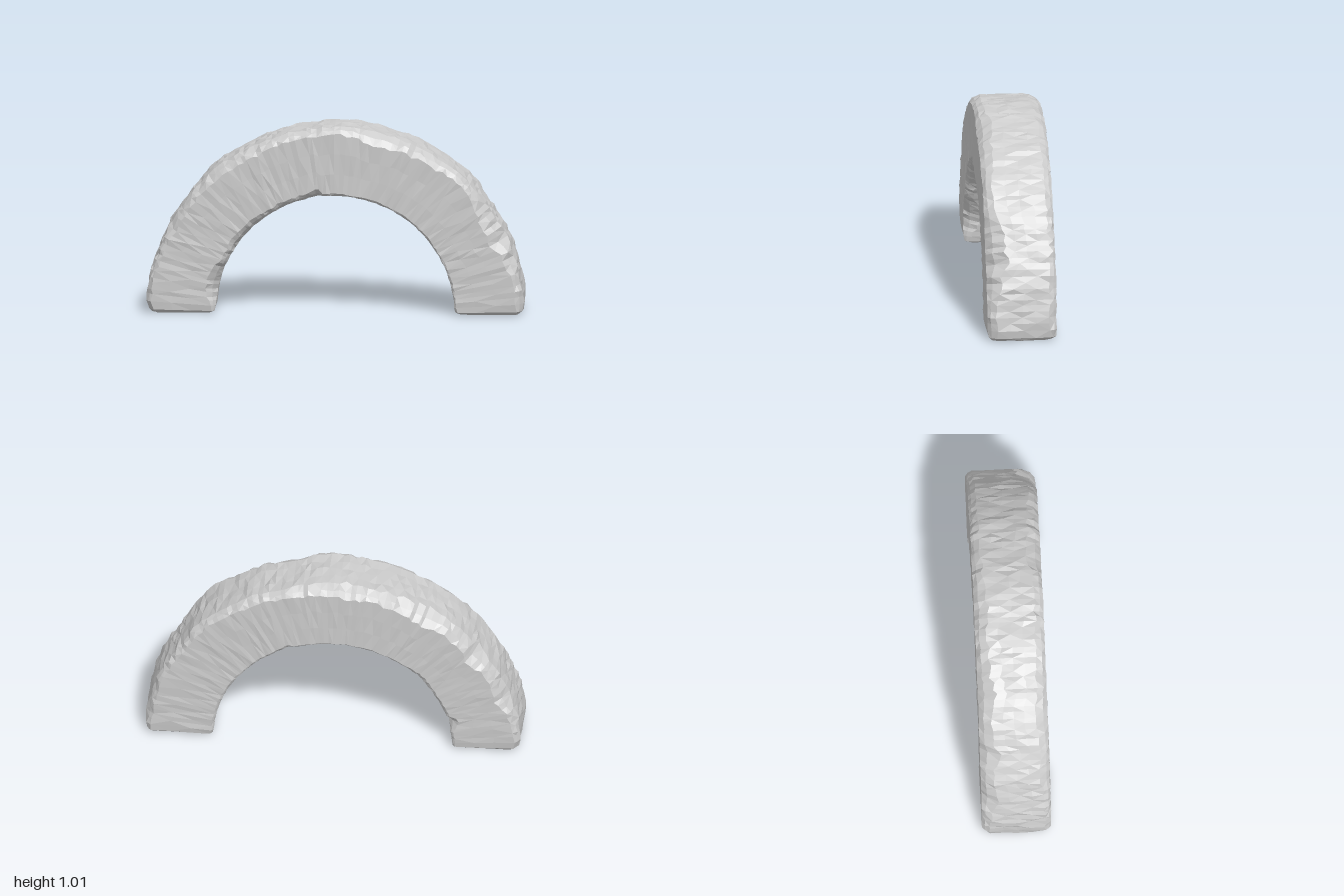
import * as THREE from 'three';

const INNER = 0.637, OUTER = 1.0, HALF = 0.184, STEPS = 96;

// Small seeded generator for the weathering
function seeded(seed) {
  let s = seed;
  return () => {
    s = (s * 16807) % 2147483647;
    return s / 2147483647 - 0.5;
  };
}

// Piecewise linear lookup of [degrees, value] pairs
function along(table, deg) {
  for (let i = 1; i < table.length; i++) {
    const [d0, v0] = table[i - 1], [d1, v1] = table[i];
    if (deg <= d1) return v0 + ((v1 - v0) * (deg - d0)) / (d1 - d0);
  }
  return table[table.length - 1][1];
}

// Worn width of each long edge around the arch; 0 degrees is the +x foot
const wear = {
  outerFront: [[0, 0.03], [4, 0.05], [9, 0.04], [14, 0.07], [20, 0.075], [24, 0.11], [34, 0.11], [38, 0.06],
    [48, 0.04], [55, 0.06], [62, 0.075], [68, 0.05], [74, 0.08], [82, 0.06], [88, 0.045], [110, 0.05],
    [130, 0.06], [145, 0.04], [150, 0.065], [156, 0.03], [180, 0.035]],
  outerBack: [[0, 0.04], [40, 0.035], [75, 0.045], [95, 0.07], [110, 0.06], [122, 0.09], [132, 0.07],
    [142, 0.1], [150, 0.06], [158, 0.09], [166, 0.05], [180, 0.035]],
  innerBack: [[0, 0.018], [60, 0.02], [68, 0.035], [74, 0.015], [120, 0.02], [135, 0.04], [150, 0.025],
    [162, 0.03], [164, 0.075], [168, 0.06], [169.5, 0.02], [180, 0.02]],
  innerFront: [[0, 0.015], [80, 0.015], [96, 0.02], [98, 0.06], [104, 0.035], [125, 0.035], [140, 0.06],
    [152, 0.04], [165, 0.085], [172, 0.07], [177, 0.03], [180, 0.02]],
};

// Closed section [radius, z] running outer, back, inner, front
function section(deg, rand, inset) {
  const r0 = INNER + inset, r1 = OUTER - inset, h = HALF - inset;
  const w = {};
  for (const edge in wear) {
    const v = along(wear[edge], deg);
    w[edge] = v * (1 + 0.35 * rand());
  }
  const corner = (r, z, sr, sz, b, outgoing) => {
    // Chamfer with a slightly raised middle point
    const onZ = [r, z - sz * b], mid = [r - sr * b * 0.36, z - sz * b * 0.36], onR = [r - sr * b * 0.8, z];
    return outgoing ? [onZ, mid, onR] : [onR, mid, onZ];
  };
  const side = (a, b, n) => Array.from({ length: n }, (_, i) => {
    const t = (i + 1) / (n + 1);
    return [a[0] + (b[0] - a[0]) * t, a[1] + (b[1] - a[1]) * t];
  });
  const oB = corner(r1, -h, 1, -1, w.outerBack, true);
  const iB = corner(r0, -h, -1, -1, w.innerBack, false);
  const iF = corner(r0, h, -1, 1, w.innerFront, true);
  const oF = corner(r1, h, 1, 1, w.outerFront, false);
  const points = [...oF, ...side(oF[2], oB[0], 3), ...oB, ...side(oB[2], iB[0], 2),
    ...iB, ...side(iB[2], iF[0], 2), ...iF, ...side(iF[2], oF[0], 2)];
  return points.map(([r, z]) => {
    const rough = r > 0.9 ? 0.012 : 0.004;
    return [r + rand() * rough, z + rand() * 0.005];
  });
}

function archGeometry() {
  const rand = seeded(4711);
  // Feet get two closely spaced rings for their bevel
  const stations = [[0, 0.024], [1.1, 0.005]];
  for (let i = 1; i < STEPS; i++) {
    const deg = 2 + (176 * i) / STEPS;
    stations.push([deg + rand() * 0.7, 0]);
  }
  stations.push([178.9, 0.005], [180, 0.024]);

  const positions = [], index = [];
  let n = 0;
  for (const [deg, inset] of stations) {
    const a = THREE.MathUtils.degToRad(deg);
    // Broad hollows and swells of the outer face
    const swell = 0.004 * Math.sin(a * 9) + 0.003 * Math.sin(a * 17 + 1);
    const ring = section(deg, rand, inset);
    n = ring.length;
    for (const [r, z] of ring) {
      const R = r > 0.85 ? r + swell : r;
      positions.push(R * Math.cos(a), Math.max(0, R * Math.sin(a)), z);
    }
  }
  // Skin between rings
  for (let i = 0; i < stations.length - 1; i++) {
    for (let j = 0; j < n; j++) {
      const k = (j + 1) % n;
      const a = i * n + j, b = i * n + k, c = a + n, d = b + n;
      if ((i + j) % 2) index.push(a, b, c, b, d, c);
      else index.push(a, b, d, a, d, c);
    }
  }
  // Flat feet
  const mid = (INNER + OUTER) / 2, last = (stations.length - 1) * n, centre = positions.length / 3;
  positions.push(mid, 0, 0, -mid, 0, 0);
  for (let j = 0; j < n; j++) {
    const k = (j + 1) % n;
    index.push(centre, k, j, centre + 1, last + j, last + k);
  }
  const geometry = new THREE.BufferGeometry();
  geometry.setAttribute('position', new THREE.Float32BufferAttribute(positions, 3));
  geometry.setIndex(index);
  geometry.computeVertexNormals();
  return geometry;
}

export function createModel() {
  const group = new THREE.Group();
  group.name = 'stoneArch';
  const stone = new THREE.MeshStandardMaterial({ color: 0xcccccc, flatShading: true });
  const arch = new THREE.Mesh(archGeometry(), stone);
  arch.name = 'weatheredArch';
  group.add(arch);
  return group;
}
